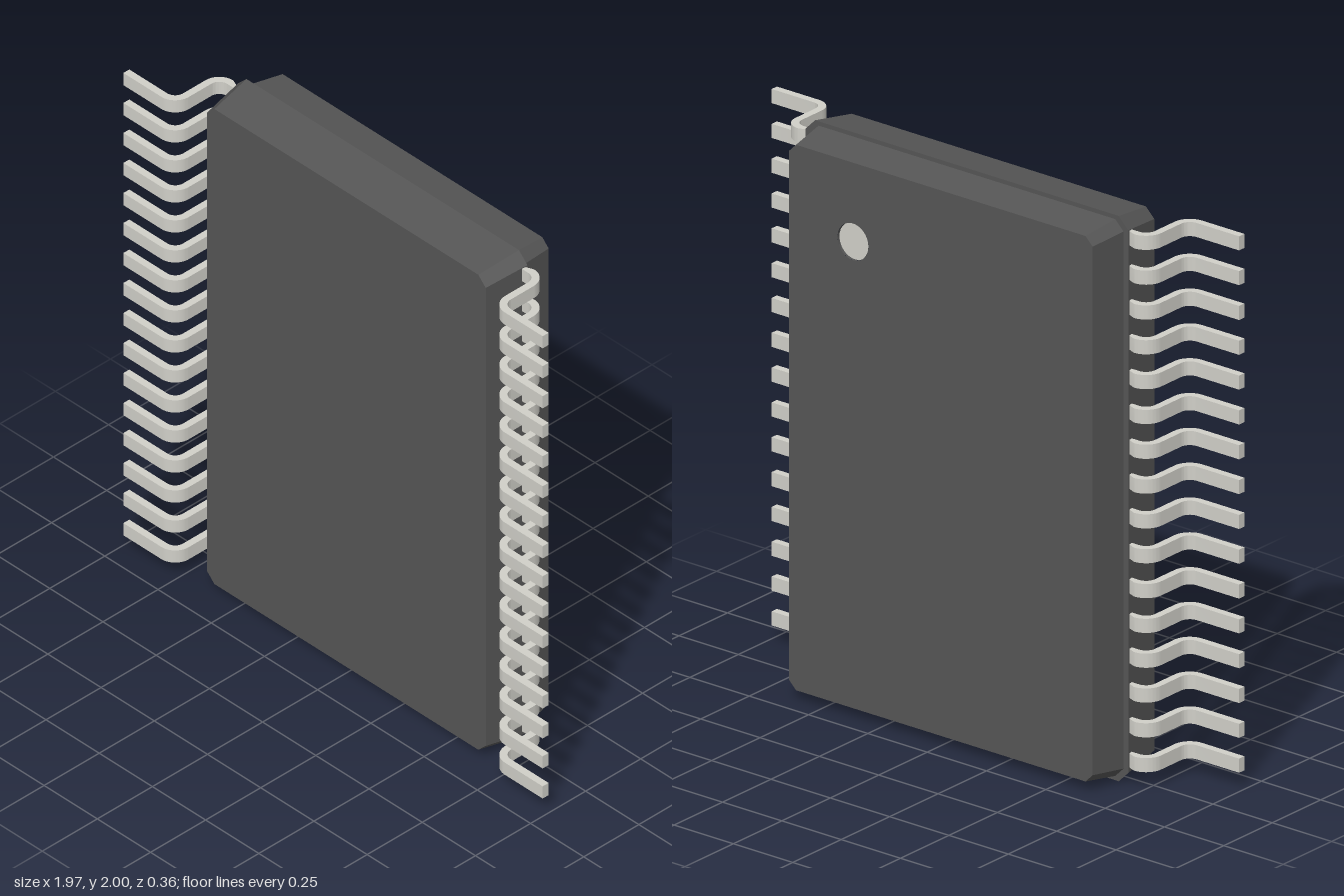
import * as THREE from 'three';
import { toCreasedNormals } from 'three/addons/utils/BufferGeometryUtils.js';

const bodyMat = new THREE.MeshStandardMaterial({ color: 0x555555, flatShading: true });
const metalMat = new THREE.MeshStandardMaterial({ color: 0xd0cfc8 });

const MID_Y = 1;
const DOT = { x: 0.37, y: 0.685, r: 0.065, depth: 0.01 };
const BACK = { w: 0.64, h: 0.965, c: 0.03, z: -0.18 };

// Counter-clockwise rectangle with chamfered corners
function outline({ w, h, c }) {
  return [
    [w, -h + c], [w, h - c], [w - c, h], [-w + c, h],
    [-w, h - c], [-w, -h + c], [-w + c, -h], [w - c, -h],
  ].map(([x, y]) => new THREE.Vector2(x, y));
}

// Sloped walls joining chamfered sections, ordered front to back
function walls(sections) {
  const pos = [];
  for (let s = 0; s < sections.length - 1; s++) {
    const a = outline(sections[s]), b = outline(sections[s + 1]);
    const za = sections[s].z, zb = sections[s + 1].z;
    for (let i = 0; i < 8; i++) {
      const j = (i + 1) % 8;
      const p = [a[i].x, a[i].y, za], q = [a[j].x, a[j].y, za];
      const u = [b[i].x, b[i].y, zb], v = [b[j].x, b[j].y, zb];
      pos.push(...p, ...u, ...v, ...p, ...v, ...q);
    }
  }
  const g = new THREE.BufferGeometry();
  g.setAttribute('position', new THREE.Float32BufferAttribute(pos, 3));
  g.computeVertexNormals();
  return g;
}

function add(parent, name, geometry, material, x = 0, y = 0, z = 0) {
  const mesh = new THREE.Mesh(geometry, material);
  mesh.name = name;
  mesh.position.set(x, y, z);
  parent.add(mesh);
  return mesh;
}

function createBody() {
  const body = new THREE.Group();
  body.name = 'body';
  body.position.y = MID_Y;

  // Two tapered halves with a small step at the parting line
  const front = { w: 0.655, h: 0.975, c: 0.035, z: 0.12 };
  add(body, 'bodyWalls', walls([
    front,
    { w: 0.68, h: 1, c: 0.04, z: -0.045 },
    { w: 0.66, h: 0.985, c: 0.035, z: -0.045 },
    BACK,
  ]), bodyMat);
  add(body, 'frontFace', new THREE.ShapeGeometry(new THREE.Shape(outline(front))), bodyMat, 0, 0, front.z);

  // Back face, pierced for the round marker (turned about y, so x is mirrored)
  const backShape = new THREE.Shape(outline(BACK));
  backShape.holes.push(new THREE.Path().absarc(-DOT.x, DOT.y, DOT.r, 0, Math.PI * 2, true));
  add(body, 'backFace', new THREE.ShapeGeometry(backShape, 32), bodyMat, 0, 0, BACK.z).rotation.y = Math.PI;

  // Shallow marker recess
  const rimMat = bodyMat.clone();
  rimMat.side = THREE.DoubleSide;
  const rim = new THREE.CylinderGeometry(DOT.r, DOT.r, DOT.depth, 32, 1, true).rotateX(Math.PI / 2);
  add(body, 'markerRim', rim, rimMat, DOT.x, DOT.y, BACK.z + DOT.depth / 2);
  add(body, 'markerFloor', new THREE.CircleGeometry(DOT.r, 32), metalMat,
    DOT.x, DOT.y, BACK.z + DOT.depth).rotation.y = Math.PI;
  return body;
}

// Gull-wing pin: side profile in x and z, extruded along y
function pinGeometry() {
  const width = 0.05, r = 0.05, t = 0.0135;
  const inner = 0.64, tip = 0.985, riser = 0.757, shoulder = -0.036, foot = 0.167;
  const c1 = [riser - r, shoulder + r], c2 = [riser + r, foot - r];
  const s = new THREE.Shape();
  s.moveTo(inner, shoulder - t);
  s.absarc(...c1, r + t, -Math.PI / 2, 0, false);
  s.absarc(...c2, r - t, Math.PI, Math.PI / 2, true);
  s.lineTo(tip, foot - t);
  s.lineTo(tip, foot + t);
  s.absarc(...c2, r + t, Math.PI / 2, Math.PI, false);
  s.absarc(...c1, r - t, 0, -Math.PI / 2, true);
  s.lineTo(inner, shoulder + t);
  s.closePath();
  const g = new THREE.ExtrudeGeometry(s, { depth: width, bevelEnabled: false, curveSegments: 8 });
  g.translate(0, 0, -width / 2).rotateX(Math.PI / 2);
  return toCreasedNormals(g, 0.6);
}

export function createModel() {
  const model = new THREE.Group();
  model.name = 'chipPackage';
  model.add(createBody());

  // Sixteen pins on each side; the right row is turned half a turn about z
  const pin = pinGeometry();
  for (const side of ['left', 'right']) {
    const row = new THREE.Group();
    row.name = side + 'Pins';
    for (let i = 0; i < 16; i++) {
      const mesh = add(row, side + 'Pin', pin, metalMat, 0, 0.082 + i * 0.1232, 0);
      if (side === 'right') mesh.rotation.z = Math.PI;
    }
    model.add(row);
  }
  return model;
}
